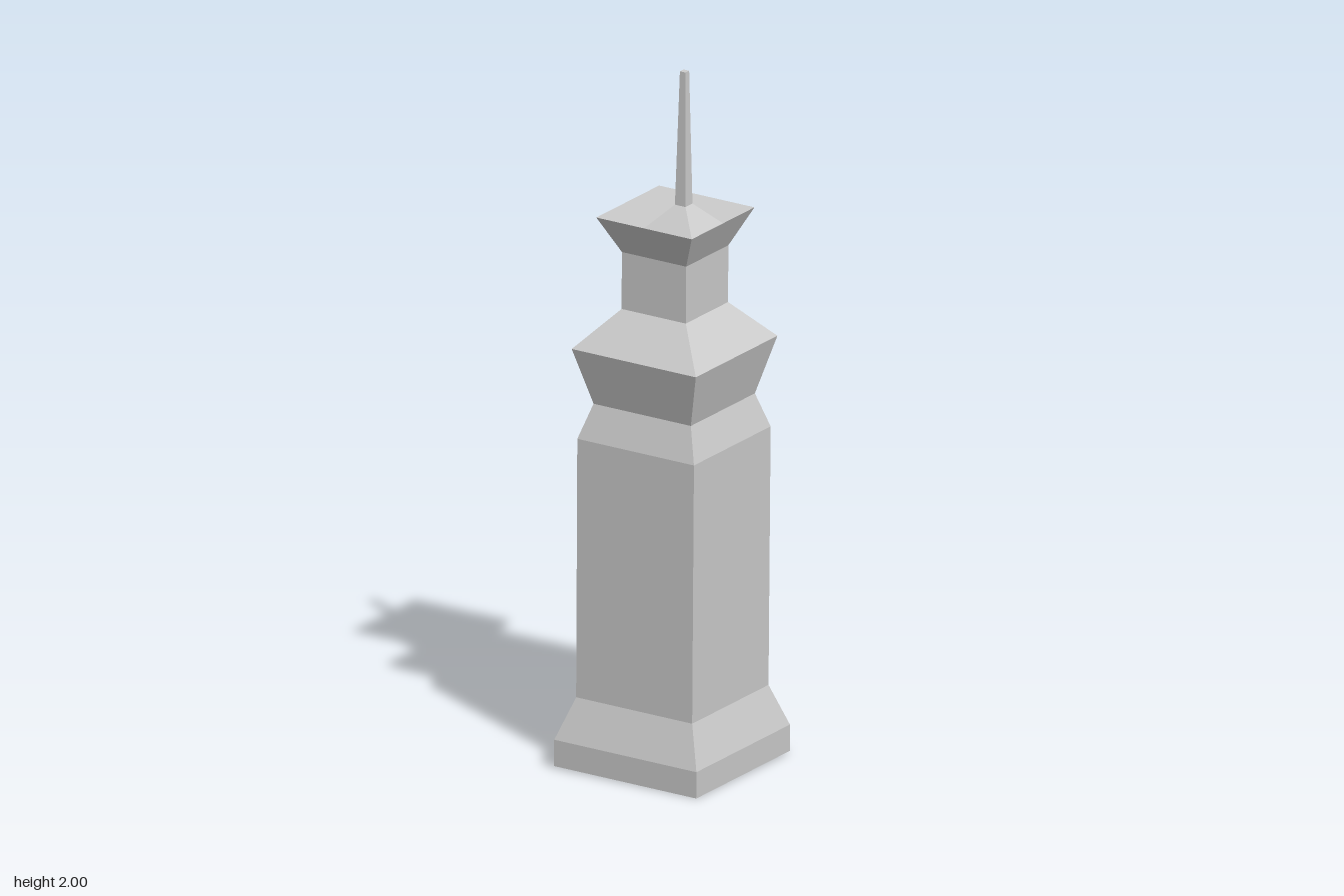
import * as THREE from 'three';

const material = new THREE.MeshStandardMaterial({ color: 0xcccccc, flatShading: true });

// Square-plan solid from [side, height] sections, bottom to top
function squareTower(name, sections) {
  const profile = sections.map(([side, y]) => new THREE.Vector2(side / Math.SQRT2, y));
  const geometry = new THREE.LatheGeometry(profile, 4, Math.PI / 4).toNonIndexed();
  geometry.computeVertexNormals();
  const mesh = new THREE.Mesh(geometry, material);
  mesh.name = name;
  return mesh;
}

export function createModel() {
  const model = new THREE.Group();
  model.name = 'tower';

  // The whole tower is turned a little and leans slightly
  const leaning = new THREE.Group();
  leaning.name = 'leaningTower';
  leaning.rotation.set(0.009, 0.022, -0.0135, 'XZY');
  leaning.position.y = 0.005;
  model.add(leaning);

  // Plinth, closed underneath
  leaning.add(squareTower('plinth', [[0, 0], [0.456, 0], [0.456, 0.075], [0.372, 0.192]]));

  // Tall shaft narrowing to a neck
  leaning.add(squareTower('shaft', [[0.372, 0.192], [0.374, 0.928], [0.312, 1.025]]));

  // Flared gallery with sloping roof
  leaning.add(squareTower('gallery', [[0.312, 1.025], [0.398, 1.185], [0.206, 1.29]]));

  // Upper turret with flared, flat top
  leaning.add(squareTower('turret', [[0.206, 1.29], [0.206, 1.452], [0.306, 1.555], [0, 1.555]]));

  // Corner spire: pyramid foot and thin mast
  const spire = squareTower('spire', [[0.153, 1.555], [0.034, 1.617], [0.018, 1.996], [0, 1.996]]);
  spire.position.set(0.0765, 0, 0.0765);
  leaning.add(spire);

  return model;
}
